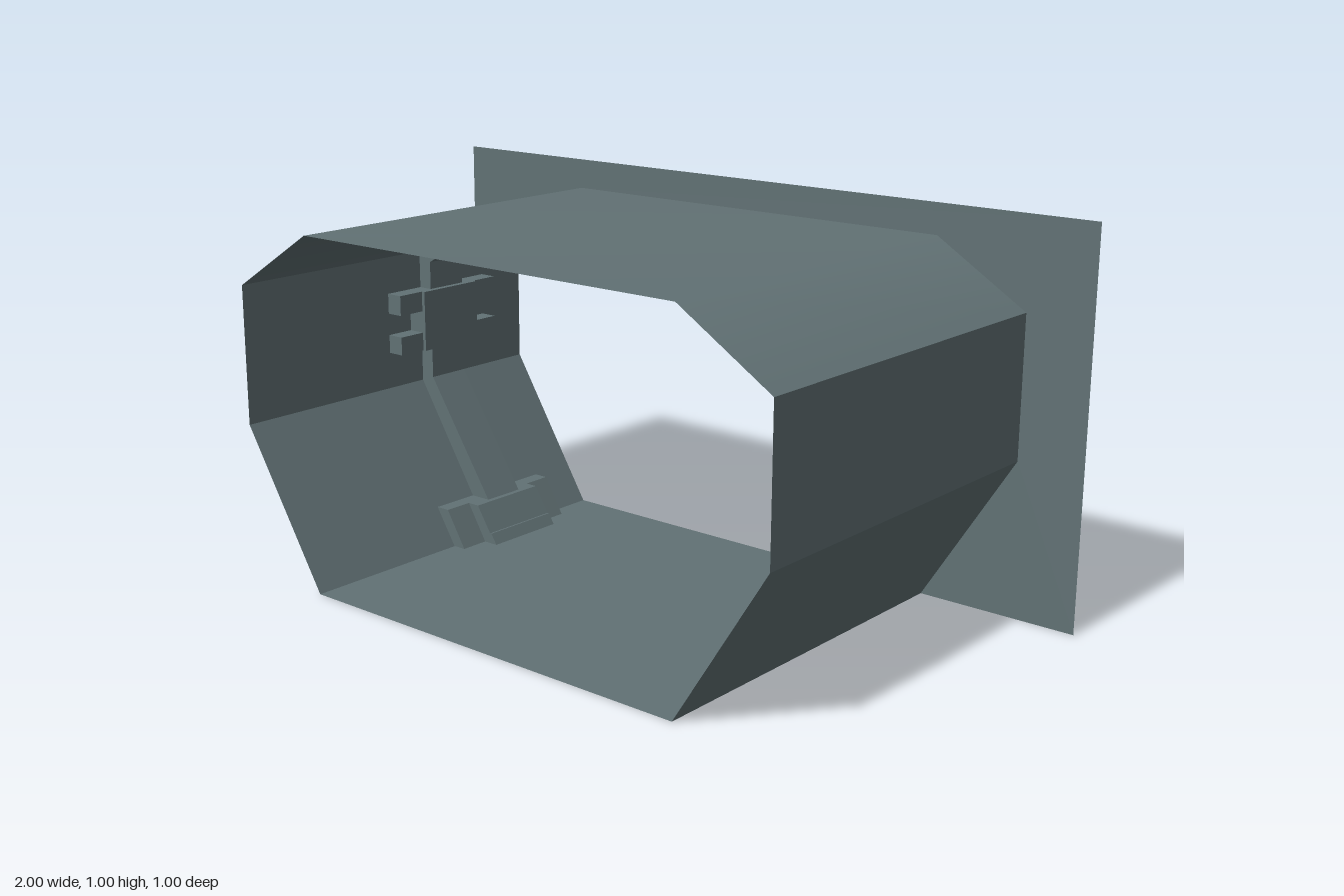
import * as THREE from 'three';

const steel = new THREE.MeshStandardMaterial({ color: 0x617174, side: THREE.DoubleSide });
steel.name = 'grey steel';

const RIB_Z = -0.167; // centre of the rib and its brackets

// Right half of the tunnel section, floor to roof
const half = [[0.575, 0], [0.825, 0.4], [0.825, 0.765], [0.575, 0.92]];
const mirrored = (pts) => pts.map(([x, y]) => [-x, y]).reverse();

function add(group, name, geometry) {
  const mesh = new THREE.Mesh(geometry, steel);
  mesh.name = name;
  group.add(mesh);
  return mesh;
}

function shapeOf(points) {
  return new THREE.Shape(points.map(([x, y]) => new THREE.Vector2(x, y)));
}

// Prism with an x-y outline, running from z0 to z1
function prism(points, z0, z1) {
  const g = new THREE.ExtrudeGeometry(shapeOf(points), { depth: z1 - z0, bevelEnabled: false });
  return g.translate(0, 0, z0);
}

// Thin sheet swept along z, smooth across its inner folds
function sheet(points) {
  const pos = [], index = [];
  points.forEach(([x, y], i) => {
    pos.push(x, y, 0.5, x, y, -0.5);
    if (i > 0) {
      const a = 2 * i - 2;
      index.push(a, a + 2, a + 1, a + 1, a + 2, a + 3);
    }
  });
  const g = new THREE.BufferGeometry();
  g.setAttribute('position', new THREE.Float32BufferAttribute(pos, 3));
  g.setIndex(index);
  g.computeVertexNormals();
  return g;
}

export function createModel() {
  const model = new THREE.Group();
  model.name = 'tunnelSection';

  // Tunnel skin: flat floor and walls, softly folded roof
  const [foot, knee, shoulder, eave] = half;
  const flip = ([x, y]) => [-x, y];
  add(model, 'floor', sheet([flip(foot), foot]));
  add(model, 'roof', sheet([shoulder, eave, flip(eave), flip(shoulder)]));
  for (const [side, m] of [['left', (p) => p], ['right', flip]]) {
    const order = (a, b) => (side === 'left' ? [a, b] : [m(b), m(a)]);
    add(model, side + 'LowerWall', sheet(order(foot, knee)));
    add(model, side + 'Wall', sheet(order(knee, shoulder)));
  }

  // End panel with the tunnel opening cut out
  const panel = new THREE.ShapeGeometry(shapeOf(
    [[-1, 0], ...mirrored(half).reverse(), ...[...half].reverse(), [1, 0], [1, 1], [-1, 1]]));
  add(model, 'endPanel', panel.translate(0, 0, -0.5));

  // Arched rib lining the inside
  const outer = [[0.573, 0.002], [0.823, 0.4], [0.823, 0.764], [0.575, 0.918]];
  const inner = [[0.51, 0.002], [0.782, 0.415], [0.782, 0.74], [0.565, 0.87]];
  add(model, 'rib', prism(
    [...outer, ...mirrored(outer), ...mirrored(inner).reverse(), ...[...inner].reverse()],
    RIB_Z - 0.06, RIB_Z + 0.06));

  // Brackets on each wall and at each foot
  for (const [side, s] of [['left', 1], ['right', -1]]) {
    const part = (name, pts, halfWidth) => add(model, side + name,
      prism(pts.map(([x, y]) => [x * s, y]), RIB_Z - halfWidth, RIB_Z + halfWidth));
    const block = (x0, x1, y0, y1) => [[x0, y0], [x1, y0], [x1, y1], [x0, y1]];

    part('WallBracket', block(0.765, 0.823, 0.5, 0.665), 0.1);
    part('WallBracketLowerEars', block(0.775, 0.823, 0.5, 0.55), 0.18);
    part('WallBracketUpperEars', block(0.775, 0.823, 0.61, 0.665), 0.18);

    part('FootBracket', [[0.515, 0.03], [0.592, 0.03], [0.635, 0.1], [0.56, 0.1]], 0.115);
    part('FootEars', [[0.535, 0.002], [0.573, 0.002], [0.635, 0.1], [0.595, 0.1]], 0.195);
    part('FootLip', [[0.492, 0.002], [0.573, 0.002], [0.59, 0.03], [0.51, 0.03]], 0.115);
  }
  return model;
}
